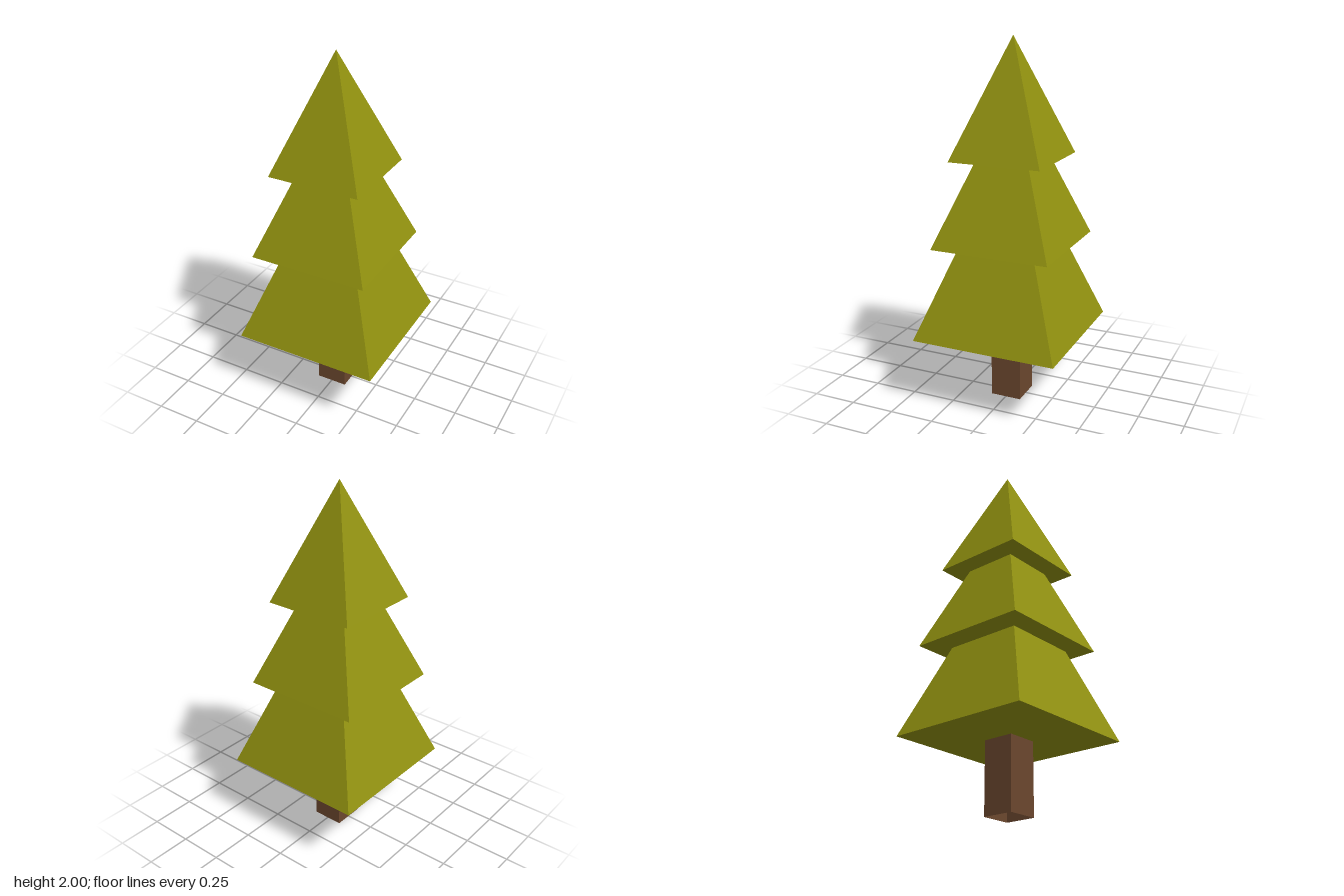
import * as THREE from 'three';

const leaf = new THREE.MeshStandardMaterial({ color: 0x91910f });
leaf.name = 'leaf green';
const bark = new THREE.MeshStandardMaterial({ color: 0x6b472e, side: THREE.DoubleSide });
bark.name = 'bark brown';

// Gives every facet its own flat normal
function faceted(geometry) {
  const flat = geometry.toNonIndexed();
  flat.computeVertexNormals();
  return flat;
}

// Open four-sided pyramid with axis-aligned edges, base at y = 0
function pyramid(half, height) {
  return new THREE.ConeGeometry(half * Math.SQRT2, height, 4, 1, true)
    .rotateY(Math.PI / 4)
    .translate(0, height / 2, 0);
}

function addMesh(parent, name, geometry, material) {
  const mesh = new THREE.Mesh(faceted(geometry), material);
  mesh.name = name;
  parent.add(mesh);
}

export function createModel() {
  const tree = new THREE.Group();
  tree.name = 'pineTree';

  // Square trunk, open at the bottom
  const trunk = new THREE.CylinderGeometry(0.087 * Math.SQRT2, 0.087 * Math.SQRT2, 0.4, 4, 1, true)
    .rotateY(Math.PI / 4)
    .translate(0, 0.2, 0);
  addMesh(tree, 'trunk', trunk, bark);

  // Foliage tiers; the underside of the lowest sags slightly
  const tiers = [
    { name: 'lowerTier', x: 0, base: 0.4, half: 0.405, top: 1.47, sag: 0.012 },
    { name: 'middleTier', x: -0.015, base: 0.9, half: 0.332, top: 1.74, sag: 0.001 },
    { name: 'upperTier', x: -0.015, base: 1.365, half: 0.257, top: 2, sag: 0.001 },
  ];
  for (const { name, x, base, half, top, sag } of tiers) {
    const tier = new THREE.Group();
    tier.name = name;
    tier.position.set(x, base, 0);
    addMesh(tier, 'slopes', pyramid(half, top - base), leaf);
    addMesh(tier, 'underside', pyramid(half, sag).rotateX(Math.PI), leaf);
    tree.add(tier);
  }
  return tree;
}
